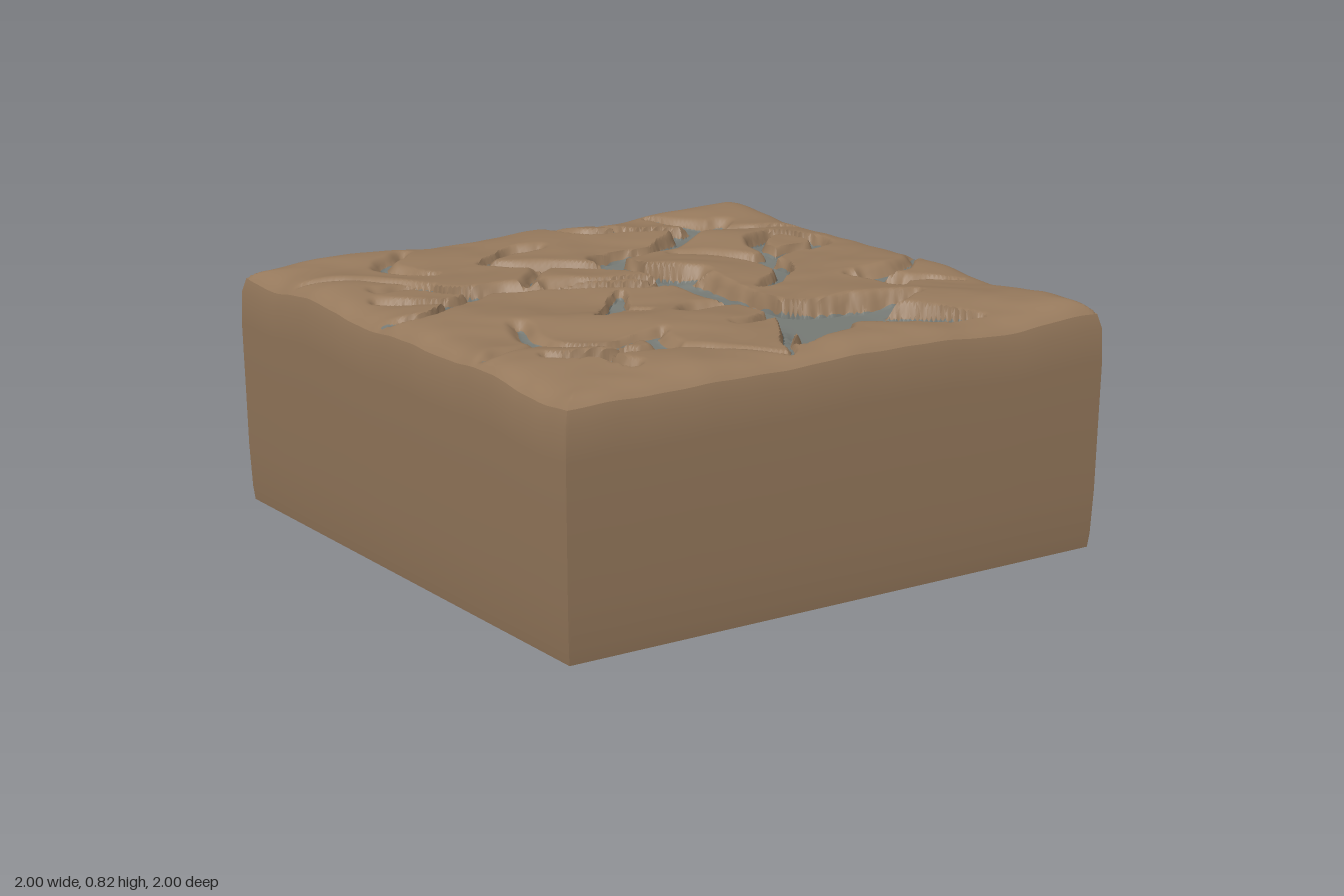
import * as THREE from 'three';
import { toCreasedNormals } from 'three/addons/utils/BufferGeometryUtils.js';

const N = 190;          // grid cells along one side
const RIM = 0.985;      // half width of the top surface

// Channel strokes: each point is [x, z, half width]
const river = [
  [[-0.32, -0.58, 0.01], [-0.16, -0.43, 0.04], [0.02, -0.28, 0.055], [0.1, -0.1, 0.07], [0.11, 0.1, 0.075],
    [0.12, 0.3, 0.06], [0.13, 0.45, 0.07], [0.18, 0.6, 0.13]],
  [[0.06, -0.28, 0.05], [0.1, -0.45, 0.05], [0.3, -0.47, 0.03], [0.48, -0.57, 0.035], [0.6, -0.65, 0.05], [0.73, -0.7, 0.02]],
  [[0.1, -0.12, 0.05], [0.2, -0.08, 0.01]],
  [[-0.35, -0.24, 0.004], [-0.22, -0.38, 0.003]],
];
const pond = [
  [[0.14, 0.5, 0.08], [0.16, 0.64, 0.12]],
  [[0.22, 0.56, 0.09], [0.43, 0.57, 0.05], [0.6, 0.56, 0.01]],
  [[0.25, 0.65, 0.13], [0.4, 0.74, 0.1], [0.52, 0.82, 0.06], [0.6, 0.87, 0.015]],
  [[0.12, 0.68, 0.1], [0.03, 0.79, 0.05], [-0.08, 0.86, 0.01]],
  [[0.1, 0.54, 0.03], [-0.1, 0.57, 0.005]],
];
const northEast = [
  [[0.15, -0.96, 0.01], [0.2, -0.8, 0.025], [0.35, -0.73, 0.035], [0.52, -0.66, 0.045], [0.68, -0.57, 0.03], [0.85, -0.52, 0.018], [0.98, -0.48, 0.008]],
  [[0.34, -0.94, 0.012], [0.37, -0.75, 0.02]],
  [[0.56, -0.92, 0.01], [0.6, -0.8, 0.025], [0.66, -0.68, 0.04]],
];
const east = [
  [[0.32, -0.38, 0.01], [0.42, -0.28, 0.015], [0.5, -0.12, 0.04], [0.45, 0.05, 0.03], [0.28, 0.19, 0.015]],
  [[0.5, -0.15, 0.04], [0.65, -0.19, 0.025], [0.78, -0.2, 0.025], [0.83, -0.28, 0.03], [0.74, -0.4, 0.03], [0.61, -0.32, 0.015], [0.58, -0.2, 0.02]],
  [[0.6, 0.23, 0.01], [0.67, 0.33, 0.04], [0.64, 0.42, 0.012]],
  [[0.66, 0.25, 0.025], [0.78, 0.25, 0.012], [0.97, 0.1, 0.005]],
  [[0.7, 0.36, 0.02], [0.88, 0.45, 0.005]],
];
const west = [
  [[-0.8, -0.42, 0.01], [-0.68, -0.4, 0.02], [-0.58, -0.27, 0.04], [-0.4, -0.2, 0.025], [-0.25, -0.12, 0.02], [-0.1, -0.02, 0.025], [0.06, 0.04, 0.03]],
  [[-0.95, -0.67, 0.004], [-0.75, -0.55, 0.01], [-0.62, -0.4, 0.01]],
  [[-0.3, -0.2, 0.006], [-0.1, -0.12, 0.01], [0.06, 0.0, 0.02]],
  [[-0.86, -0.32, 0.012], [-0.78, -0.23, 0.035], [-0.68, -0.16, 0.03], [-0.53, -0.22, 0.02]],
  [[-0.97, -0.1, 0.008], [-0.85, -0.03, 0.02], [-0.75, -0.08, 0.02], [-0.68, -0.15, 0.02]],
  [[-0.47, -0.84, 0.004], [-0.61, -0.72, 0.015], [-0.58, -0.62, 0.025], [-0.52, -0.54, 0.01]],
  [[-0.32, -0.58, 0.01], [-0.2, -0.66, 0.012], [-0.12, -0.69, 0.028], [-0.05, -0.68, 0.008]],
];
const southWest = [
  [[-0.18, 0.03, 0.01], [-0.28, 0.15, 0.03], [-0.4, 0.28, 0.008]],
  [[-0.28, 0.18, 0.02], [-0.23, 0.26, 0.008]],
  [[-0.14, 0.35, 0.008], [-0.05, 0.31, 0.03], [0.05, 0.34, 0.01]],
  [[-0.67, 0.22, 0.01], [-0.71, 0.38, 0.02], [-0.66, 0.52, 0.04], [-0.56, 0.56, 0.025], [-0.36, 0.52, 0.005]],
  [[-0.95, 0.47, 0.004], [-0.72, 0.43, 0.018]],
  [[-0.8, 0.6, 0.012], [-0.7, 0.66, 0.035], [-0.55, 0.68, 0.03], [-0.43, 0.66, 0.025], [-0.4, 0.54, 0.015]],
  [[-0.7, 0.66, 0.02], [-0.65, 0.82, 0.012]],
  [[-0.6, 0.57, 0.02], [-0.54, 0.66, 0.015]],
  [[-0.4, 0.7, 0.01], [-0.16, 0.92, 0.004]],
  [[-0.16, 0.92, 0.004], [0.06, 0.6, 0.02]],
];

// Smooth every stroke and cut it into short tapered segments
function makeSegments() {
  const segments = [];
  for (const stroke of [river, pond, northEast, east, west, southWest].flat()) {
    const curve = new THREE.CatmullRomCurve3(stroke.map(([x, z, w]) => new THREE.Vector3(x, w, z)));
    const pts = curve.getPoints((stroke.length - 1) * 4);
    for (let i = 1; i < pts.length; i++) segments.push([pts[i - 1], pts[i]]);
  }
  return segments;
}

const ripple = (x, z) => Math.sin(x * 23 + Math.sin(z * 17) * 1.5) * Math.cos(z * 21 + Math.sin(x * 13));

// Rolling ground that rounds off toward the rim
function groundHeight(x, z) {
  const u = x + 0.08 * Math.sin(z * 5 + 1), v = z + 0.08 * Math.sin(x * 6);
  const edge = 1 - Math.max(Math.abs(x), Math.abs(z)) / RIM;
  return 0.808 + 0.009 * Math.sin(u * 8 + 0.6) * Math.cos(v * 7.3) + 0.006 * Math.sin(u * 4.1 - v * 11)
    + 0.002 * ripple(x, z) - 0.045 * Math.exp(-edge / 0.04);
}

// Surface point with f, the signed distance to the channel outline
function surfacePoint(x, z, segments) {
  const px = x + 0.009 * ripple(x, z), pz = z + 0.009 * ripple(z + 3, x);
  let f = 1, sum = 0, depthSum = 0;
  for (const [a, b] of segments) {
    const dx = b.x - a.x, dz = b.z - a.z;
    const t = THREE.MathUtils.clamp(((px - a.x) * dx + (pz - a.z) * dz) / (dx * dx + dz * dz || 1), 0, 1);
    const w = Math.max(0.002, a.y + (b.y - a.y) * t);
    const d = Math.hypot(px - a.x - dx * t, pz - a.z - dz * t) - w;
    f = Math.min(f, d);
    if (d < 0.2) {
      const k = Math.exp(-d / 0.02);
      sum += k;
      depthSum += k * Math.min(0.06, 0.022 + 0.7 * w);
    }
  }
  const ground = groundHeight(x, z);
  const floor = sum ? Math.min(ground - 0.004, 0.808 - depthSum / sum) : ground;
  const bank = 0.026 + 0.014 * Math.sin(x * 9 + z * 7);
  const rise = THREE.MathUtils.clamp(f / bank, 0, 1);
  return { x, z, f, y: floor + (ground - floor) * Math.sin(rise * Math.PI / 2) };
}

// Part of a triangle where sign * f >= 0, added as a triangle fan
function clipInto(out, tri, sign) {
  const poly = [];
  tri.forEach((a, i) => {
    const b = tri[(i + 1) % 3];
    if (a.f * sign >= 0) poly.push(a);
    if (a.f * b.f < 0) {
      const t = a.f / (a.f - b.f), mix = k => a[k] + (b[k] - a[k]) * t;
      poly.push({ x: mix('x'), y: mix('y'), z: mix('z') });
    }
  });
  for (let i = 2; i < poly.length; i++) for (const p of [poly[0], poly[i - 1], poly[i]]) out.push(p.x, p.y, p.z);
}

function makeMesh(name, positions, material, crease) {
  const geometry = new THREE.BufferGeometry();
  geometry.setAttribute('position', new THREE.Float32BufferAttribute(positions, 3));
  const mesh = new THREE.Mesh(toCreasedNormals(geometry, crease), material);
  mesh.name = name;
  return mesh;
}

// One block wall, turned in quarter steps; slightly bulged between base and rim
function wallPositions(turns) {
  const out = [], rows = [[0, 0.982], [0.06, 0.987], [0.25, 0.993], [0.5, 0.996], [0.8, 1], [0.94, 0.997], [1, RIM]];
  const point = (i, [t, s]) => {
    let x = (i / N) * 2 - 1, z = 1;
    for (let k = 0; k < turns; k++) [x, z] = [z, -x];
    return [x * s, t * groundHeight(x * RIM, z * RIM), z * s];
  };
  for (let r = 1; r < rows.length; r++) {
    for (let i = 0; i < N; i++) {
      const a = point(i, rows[r - 1]), b = point(i + 1, rows[r - 1]), c = point(i + 1, rows[r]), d = point(i, rows[r]);
      out.push(...a, ...b, ...c, ...a, ...c, ...d);
    }
  }
  return out;
}

export function createModel() {
  const group = new THREE.Group();
  group.name = 'terrainBlock';
  const earth = new THREE.MeshStandardMaterial({ color: 0x977a5d });
  const stone = new THREE.MeshStandardMaterial({ color: 0x777b76 });
  const dark = new THREE.MeshStandardMaterial({ color: 0x140807 });
  earth.name = 'brownEarth';
  stone.name = 'greyChannel';
  dark.name = 'darkBase';

  // Top surface, split along the channel outline
  const segments = makeSegments();
  const grid = [];
  for (let j = 0; j <= N; j++) {
    for (let i = 0; i <= N; i++) {
      grid.push(surfacePoint(((i / N) * 2 - 1) * RIM, ((j / N) * 2 - 1) * RIM, segments));
    }
  }
  const land = [], channel = [];
  for (let j = 0; j < N; j++) {
    for (let i = 0; i < N; i++) {
      const a = grid[j * (N + 1) + i], b = grid[j * (N + 1) + i + 1];
      const c = grid[(j + 1) * (N + 1) + i], d = grid[(j + 1) * (N + 1) + i + 1];
      for (const tri of [[a, c, b], [b, c, d]]) {
        clipInto(land, tri, 1);
        clipInto(channel, tri, -1);
      }
    }
  }
  group.add(makeMesh('ground', land, earth, 0.7), makeMesh('channelFloor', channel, stone, 0.7));

  // Four walls and the underside
  ['front', 'left', 'back', 'right'].forEach((side, k) => group.add(makeMesh(side + 'Wall', wallPositions(k), earth, 0.6)));
  const base = new THREE.Mesh(new THREE.PlaneGeometry(1.964, 1.964).rotateX(Math.PI / 2), dark);
  base.name = 'underside';
  group.add(base);
  return group;
}
